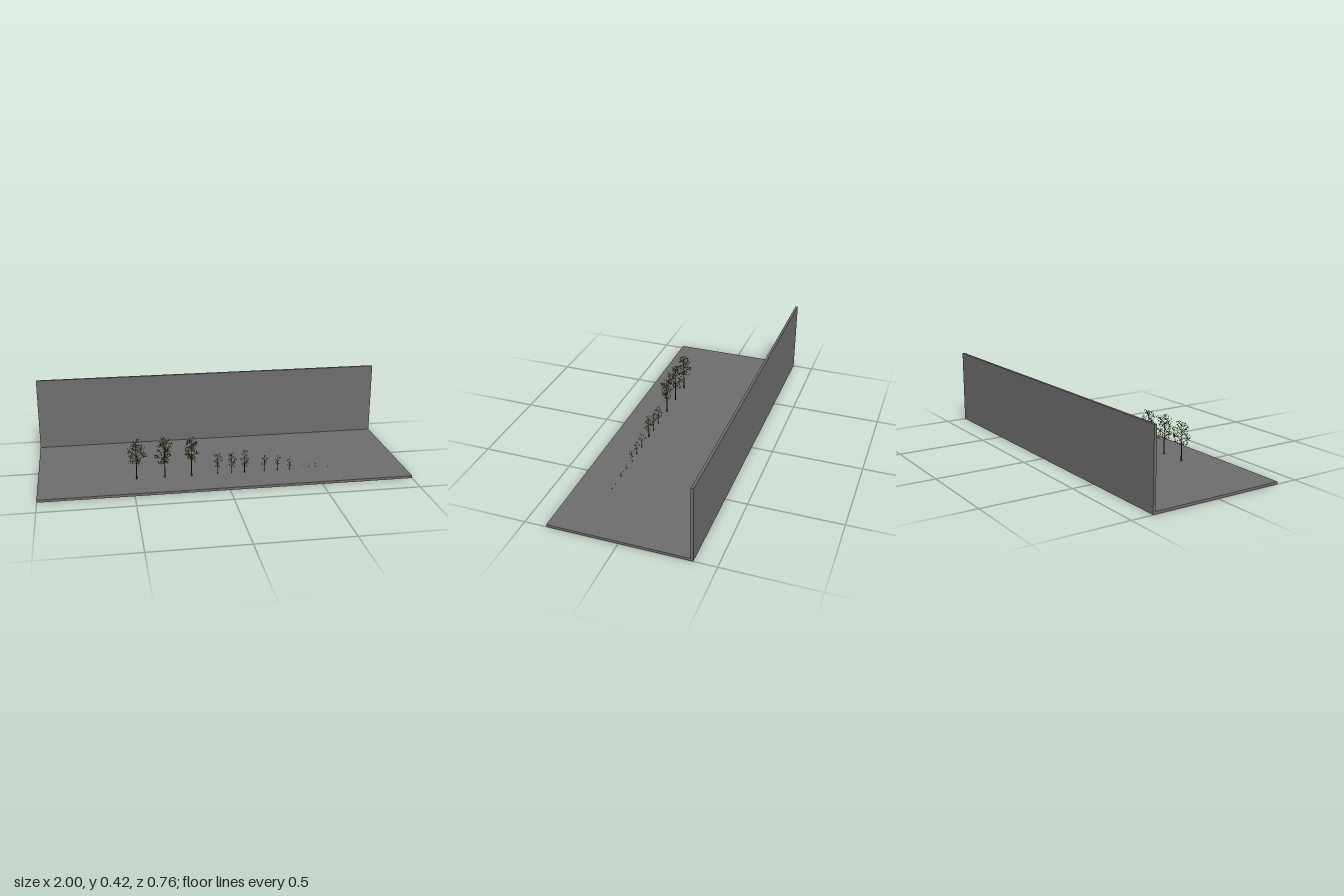
import * as THREE from 'three';
import { mergeGeometries } from 'three/addons/utils/BufferGeometryUtils.js';

const material = (name, color, extra = {}) => {
  const m = new THREE.MeshStandardMaterial({ color, ...extra });
  m.name = name;
  return m;
};

// Seeded generator so every tree is repeatable
function seeded(seed) {
  let s = seed * 7919 + 13;
  return () => {
    s = (s * 16807) % 2147483647;
    return s / 2147483647;
  };
}

// Tapered limb between two points
function limb(a, b, r0, r1) {
  const dir = b.clone().sub(a);
  const g = new THREE.CylinderGeometry(r1, r0, dir.length(), 6);
  g.applyQuaternion(new THREE.Quaternion().setFromUnitVectors(
    new THREE.Vector3(0, 1, 0), dir.clone().normalize()));
  return g.translate(...a.clone().add(b).multiplyScalar(0.5).toArray());
}

// Diamond leaves scattered at the given points
function leafGeometry(points, size, rand) {
  const pos = [], index = [];
  const corners = [[-1, 0, 0], [0, 0, 0.6], [1, 0, 0], [0, 0, -0.6]];
  const e = new THREE.Euler();
  for (const p of points) {
    const n = pos.length / 3, s = size * (0.7 + 0.6 * rand());
    e.set((rand() - 0.5) * 2.4, rand() * Math.PI * 2, (rand() - 0.5) * 2);
    for (const c of corners) {
      pos.push(...new THREE.Vector3(...c).multiplyScalar(s).applyEuler(e).add(p).toArray());
    }
    index.push(n, n + 1, n + 2, n, n + 2, n + 3);
  }
  const g = new THREE.BufferGeometry();
  g.setAttribute('position', new THREE.Float32BufferAttribute(pos, 3));
  g.setIndex(index);
  g.computeVertexNormals();
  return g;
}

// Tree standing on its own origin: overall height, crown base and crown radius
function makeTree(height, crownBase, radius, clumps, seed, mats) {
  const rand = seeded(seed);
  const tree = new THREE.Group();
  const mid = (height + crownBase) / 2, half = (height - crownBase) / 2;
  const wood = [limb(new THREE.Vector3(), new THREE.Vector3(0, height * 0.9, 0), height * 0.017, height * 0.004)];
  const points = [];

  // Branches spiral up the trunk, each ending in a clump of leaves
  for (let i = 0; i < clumps; i++) {
    const t = (i + 0.5) / clumps * 2 - 1;
    const angle = i * 2.4 + rand();
    const reach = radius * Math.sqrt(1 - t * t) * (0.4 + 0.5 * rand());
    const y = mid + t * half * 0.9;
    const tip = new THREE.Vector3(Math.cos(angle) * reach, y, Math.sin(angle) * reach);
    const start = new THREE.Vector3(0, Math.min(Math.max(y - reach * 0.8, crownBase * 0.85), height * 0.85), 0);
    wood.push(limb(start, tip, height * 0.006, height * 0.002));
    for (let k = 0; k < 22; k++) {
      const dir = new THREE.Vector3(rand() - 0.5, rand() - 0.5, rand() - 0.5).normalize();
      const p = dir.multiplyScalar(radius * 0.36 * Math.sqrt(rand())).add(tip);
      p.y = Math.min(p.y, height * 0.99);
      points.push(p);
    }
  }

  const add = (name, geometry, mat) => {
    const mesh = new THREE.Mesh(geometry, mat);
    mesh.name = name;
    tree.add(mesh);
  };
  add('trunkAndBranches', mergeGeometries(wood), mats.bark);
  const size = height * 0.02;
  add('darkLeaves', leafGeometry(points.filter((_, i) => i % 2), size, rand), mats.dark);
  add('lightLeaves', leafGeometry(points.filter((_, i) => i % 2 === 0), size, rand), mats.light);
  return tree;
}

export function createModel() {
  const model = new THREE.Group();
  model.name = 'treeDisplay';
  const grey = material('grey panel', 0x6c6c6c);
  const mats = {
    bark: material('dark bark', 0x2e2a22),
    dark: material('dark leaf green', 0x3c5019, { side: THREE.DoubleSide }),
    light: material('light leaf green', 0x587024, { side: THREE.DoubleSide }),
  };

  // Floor slab and back wall
  const floorTop = 0.014;
  const panel = (name, w, h, d, y, z) => {
    const mesh = new THREE.Mesh(new THREE.BoxGeometry(w, h, d), grey);
    mesh.name = name;
    mesh.position.set(0, y, z);
    model.add(mesh);
  };
  panel('floor', 2, floorTop, 0.762, floorTop / 2, 0);
  panel('backWall', 2, 0.421 - floorTop, 0.014, (0.421 + floorTop) / 2, -0.374);

  // Row of trees in shrinking sets of three: x, height, crown base, crown radius, clumps
  const row = [
    [-0.477, 0.220, 0.085, 0.054, 16],
    [-0.325, 0.225, 0.080, 0.054, 18],
    [-0.180, 0.220, 0.085, 0.045, 16],
    [-0.036, 0.122, 0.035, 0.026, 11],
    [0.040, 0.120, 0.038, 0.030, 11],
    [0.111, 0.136, 0.034, 0.029, 12],
    [0.221, 0.095, 0.034, 0.024, 9],
    [0.294, 0.087, 0.036, 0.021, 8],
    [0.362, 0.072, 0.022, 0.017, 8],
    [0.437, 0.028, 0.008, 0.010, 5],
    [0.475, 0.028, 0.008, 0.010, 5],
    [0.512, 0.032, 0.008, 0.009, 5],
    [0.585, 0.008, 0.002, 0.005, 3],
    [0.610, 0.008, 0.002, 0.005, 3],
    [0.630, 0.008, 0.002, 0.004, 3],
  ];
  row.forEach(([x, height, base, radius, clumps], i) => {
    const tree = makeTree(height, base, radius, clumps, i + 1, mats);
    tree.name = `tree${i + 1}`;
    tree.position.set(x, floorTop, 0.19);
    model.add(tree);
  });
  return model;
}
